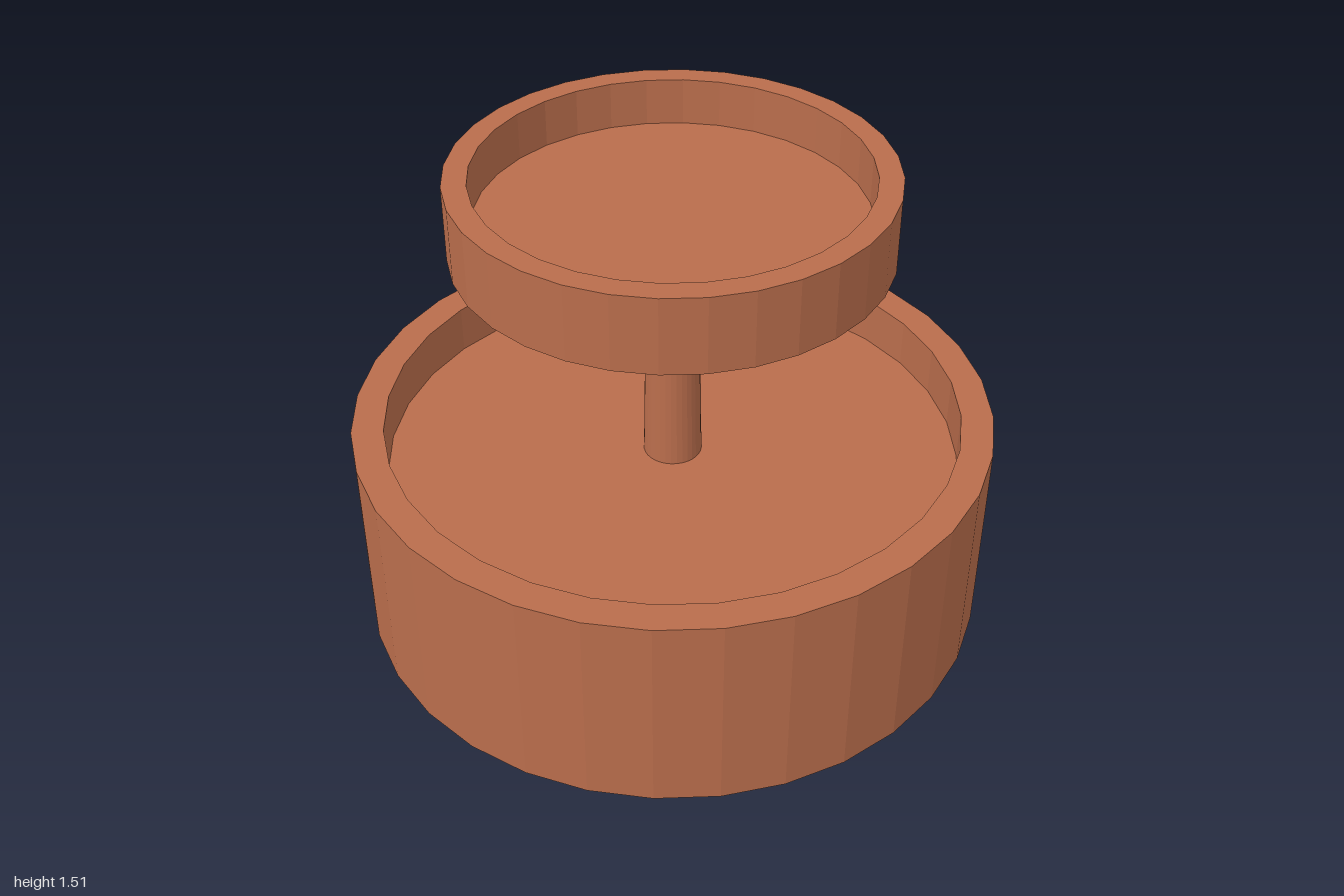
import * as THREE from 'three';

const SIDES = 32;

export function createModel() {
  const model = new THREE.Group();
  model.name = 'tieredFountain';
  const terracotta = new THREE.MeshStandardMaterial({ color: 0xb96d4c });
  terracotta.name = 'terracotta';
  terracotta.flatShading = true;

  // Turned part from a profile of [radius, height], listed from the bottom up
  const turned = (name, profile) => {
    const points = profile.map(([r, y]) => new THREE.Vector2(r, y));
    const mesh = new THREE.Mesh(new THREE.LatheGeometry(points, SIDES), terracotta);
    mesh.name = name;
    model.add(mesh);
  };

  // Wide basin with a recessed floor
  turned('lowerBasin', [[0, 0], [1, 0], [1, 0.675], [0.9, 0.675], [0.9, 0.515], [0, 0.515]]);

  // Slightly tapered column between the basins
  turned('column', [[0, 0.5], [0.092, 0.5], [0.078, 1.27], [0, 1.27]]);

  // Small dish with a shallow conical underside
  turned('upperDish', [[0, 1.245], [0.66, 1.27], [0.66, 1.51], [0.587, 1.51], [0.587, 1.36], [0, 1.36]]);

  return model;
}
